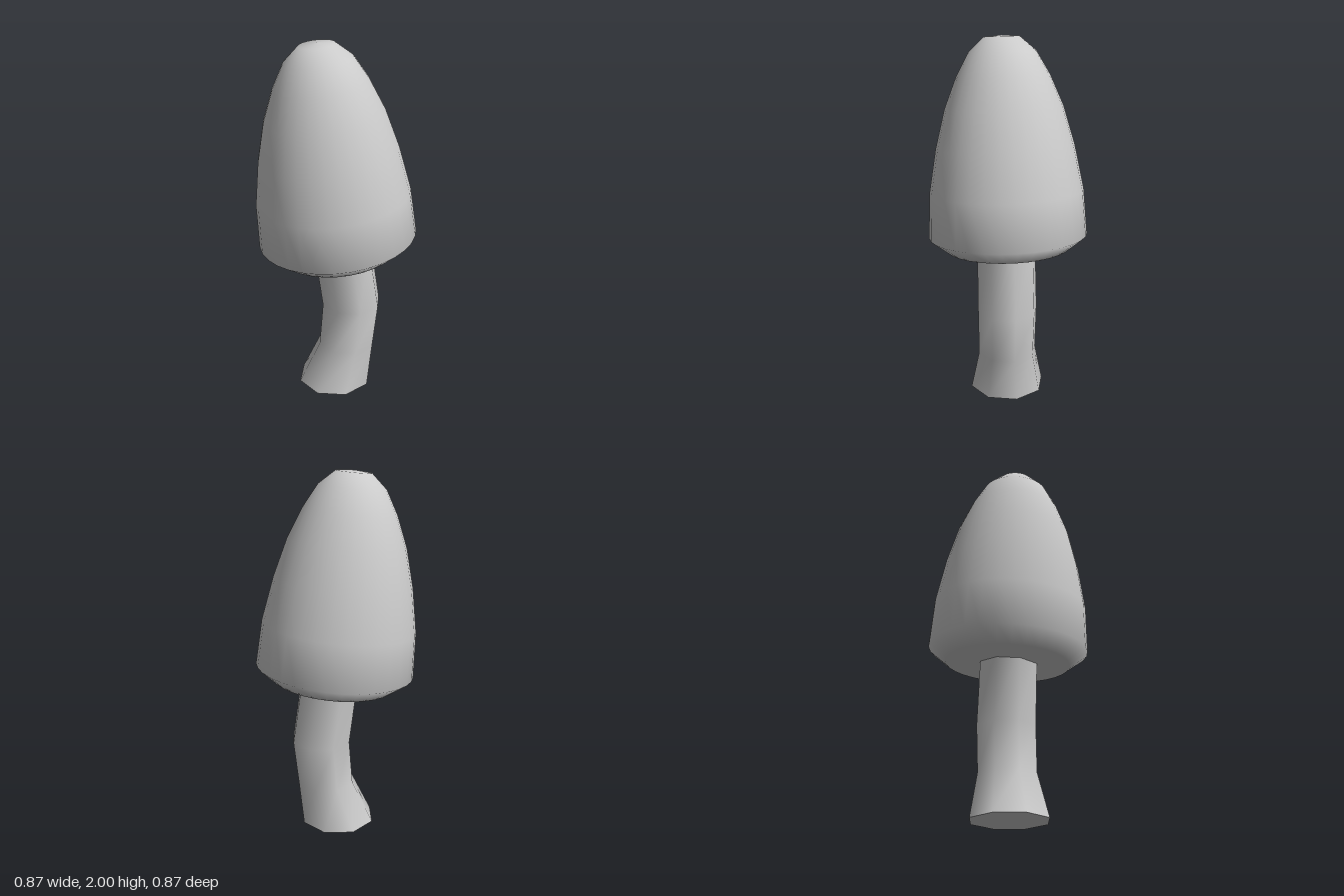
import * as THREE from 'three';

const material = new THREE.MeshStandardMaterial({ color: 0xcccccc });

// Domed cap, turned around an axis that leans to the front and side
function createCap() {
  const profile = [
    [0, -0.075], [0.34, -0.075], [0.435, 0], [0.42, 0.25], [0.375, 0.49],
    [0.318, 0.70], [0.25, 0.865], [0.18, 0.99], [0.095, 1.066], [0, 1.074],
  ].map(([r, h]) => new THREE.Vector2(r, h));
  const cap = new THREE.Mesh(new THREE.LatheGeometry(profile, 32), material);
  cap.name = 'cap';
  cap.position.y = 0.93;
  const axis = new THREE.Vector3(-0.06, 1, 0.086).normalize();
  cap.quaternion.setFromUnitVectors(new THREE.Vector3(0, 1, 0), axis);
  return cap;
}

// Bent eight-sided stem: a cylinder whose rings follow a curved centre line
function createStem() {
  const rings = [ // x, y, z, radius, from the ground up
    [-0.01, 0, 0.015, 0.213],
    [0.045, 0.25, -0.03, 0.165],
    [0.063, 0.51, -0.047, 0.169],
    [0.022, 0.92, -0.006, 0.165],
  ];
  const last = rings.length - 1;
  const geometry = new THREE.CylinderGeometry(1, 1, last, 8, last, false, THREE.MathUtils.degToRad(8));
  const p = geometry.attributes.position;
  for (let i = 0; i < p.count; i++) {
    const [x, y, z, r] = rings[Math.round(p.getY(i) + last / 2)];
    p.setXYZ(i, x + p.getX(i) * r, y, z + p.getZ(i) * r);
  }
  // Recompute the side normals, keeping the seam smooth
  geometry.computeVertexNormals();
  const n = geometry.attributes.normal;
  for (let row = 0; row <= last; row++) {
    const a = row * 9, b = a + 8;
    const sum = new THREE.Vector3().fromBufferAttribute(n, a)
      .add(new THREE.Vector3().fromBufferAttribute(n, b)).normalize();
    n.setXYZ(a, sum.x, sum.y, sum.z);
    n.setXYZ(b, sum.x, sum.y, sum.z);
  }
  const stem = new THREE.Mesh(geometry, material);
  stem.name = 'stem';
  return stem;
}

export function createModel() {
  const group = new THREE.Group();
  group.name = 'mushroom';
  group.add(createStem(), createCap());
  return group;
}
